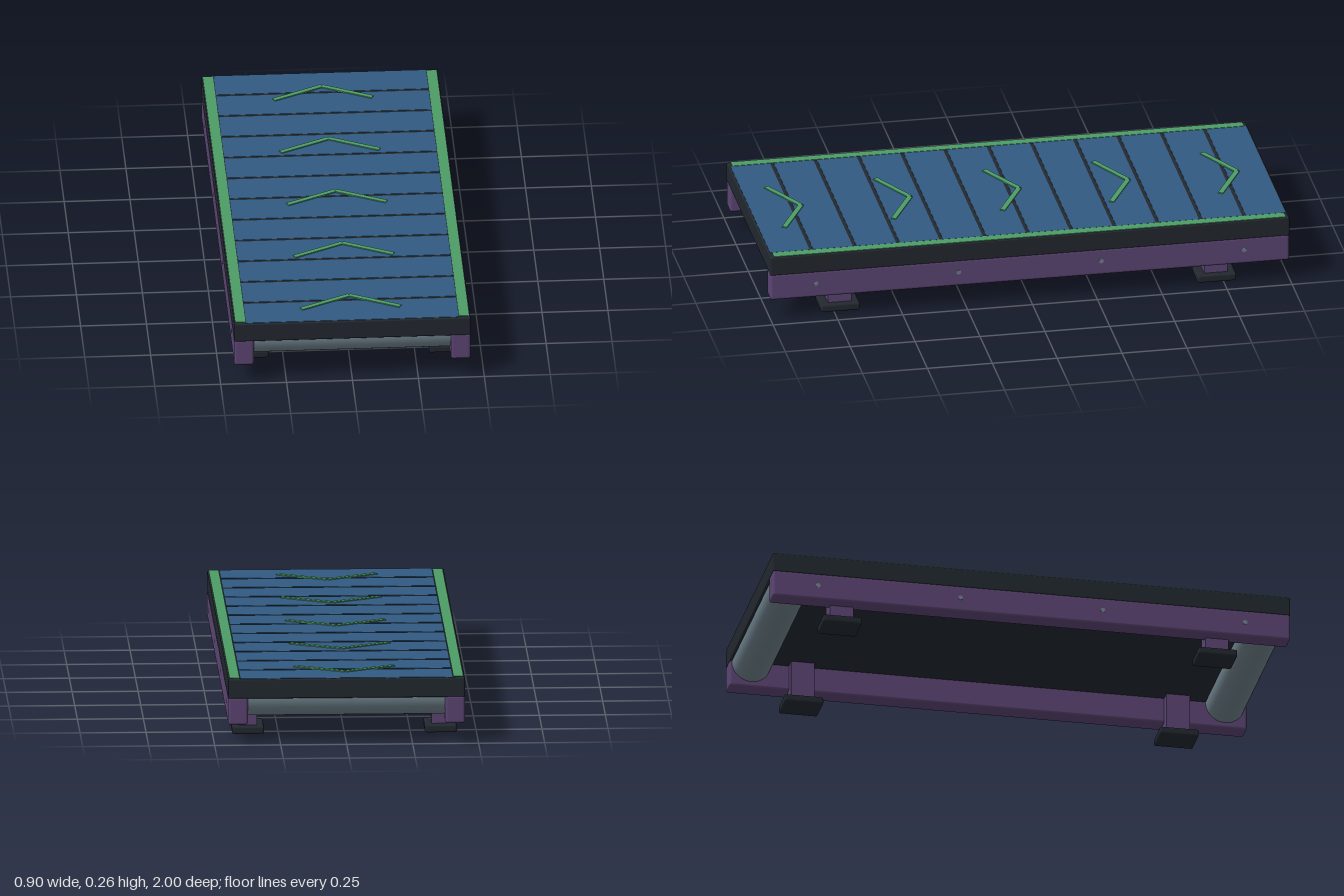
import * as THREE from 'three';
import { RoundedBoxGeometry } from 'three/addons/geometries/RoundedBoxGeometry.js';

const paint = (color) => new THREE.MeshStandardMaterial({ color });

export function createModel() {
  const group = new THREE.Group();
  const dark = paint(0x22282f);
  const blue = paint(0x325a82);
  const green = paint(0x4c9c66);
  const purple = paint(0x5c4573);
  const steel = paint(0x6f828c);

  const add = (name, geometry, material, x, y, z) => {
    const mesh = new THREE.Mesh(geometry, material);
    mesh.name = name;
    mesh.position.set(x, y, z);
    group.add(mesh);
    return mesh;
  };
  const rounded = (w, h, d, r) => new RoundedBoxGeometry(w, h, d, 3, r);

  // Deck with its cross slats
  add('deck', rounded(0.896, 0.076, 2, 0.006), dark, 0, 0.217, 0);
  const slatCount = 12;
  const pitch = 2 / slatCount;
  for (let i = 0; i < slatCount; i++) {
    const z = -1 + pitch * (i + 0.5);
    add('slat', new THREE.BoxGeometry(0.806, 0.012, pitch - 0.014), blue, 0, 0.2505, z);
  }

  // Chevron markers: two bars meeting at an apex that points to the back
  const run = 0.18, drop = 0.095;
  const barLength = Math.hypot(run, drop) + 0.008;
  for (let i = 0; i < 5; i++) {
    const apexZ = -0.88 + i * 0.42;
    for (const s of [-1, 1]) {
      const bar = add('chevronBar', new THREE.BoxGeometry(barLength, 0.006, 0.02), green,
        s * (run / 2 + 0.004), 0.2575, apexZ + drop / 2);
      bar.rotation.y = -s * Math.atan2(drop, run);
    }
  }

  // Rollers under both ends
  for (const s of [-1, 1]) {
    const roller = add('roller', new THREE.CylinderGeometry(0.075, 0.075, 0.78, 40), steel, 0, 0.175, s * 0.915);
    roller.rotation.z = Math.PI / 2;
  }

  // Each side: edge strip, rail, bolts, legs and feet
  for (const s of [-1, 1]) {
    add('edgeStrip', new THREE.BoxGeometry(0.038, 0.012, 1.97), green, s * 0.424, 0.251, 0);
    add('sideRail', rounded(0.075, 0.107, 2, 0.01), purple, s * 0.411, 0.1315, 0);
    for (const z of [-0.825, -0.275, 0.275, 0.825]) {
      const bolt = add('railBolt', new THREE.CylinderGeometry(0.009, 0.009, 0.006, 16), steel, s * 0.4465, 0.135, z);
      bolt.rotation.z = Math.PI / 2;
    }
    for (const z of [-0.725, 0.725]) {
      add('leg', new THREE.BoxGeometry(0.072, 0.16, 0.09), purple, s * 0.366, 0.1, z);
      add('foot', rounded(0.122, 0.03, 0.15, 0.008), dark, s * 0.365, 0.015, z);
    }
  }
  return group;
}
